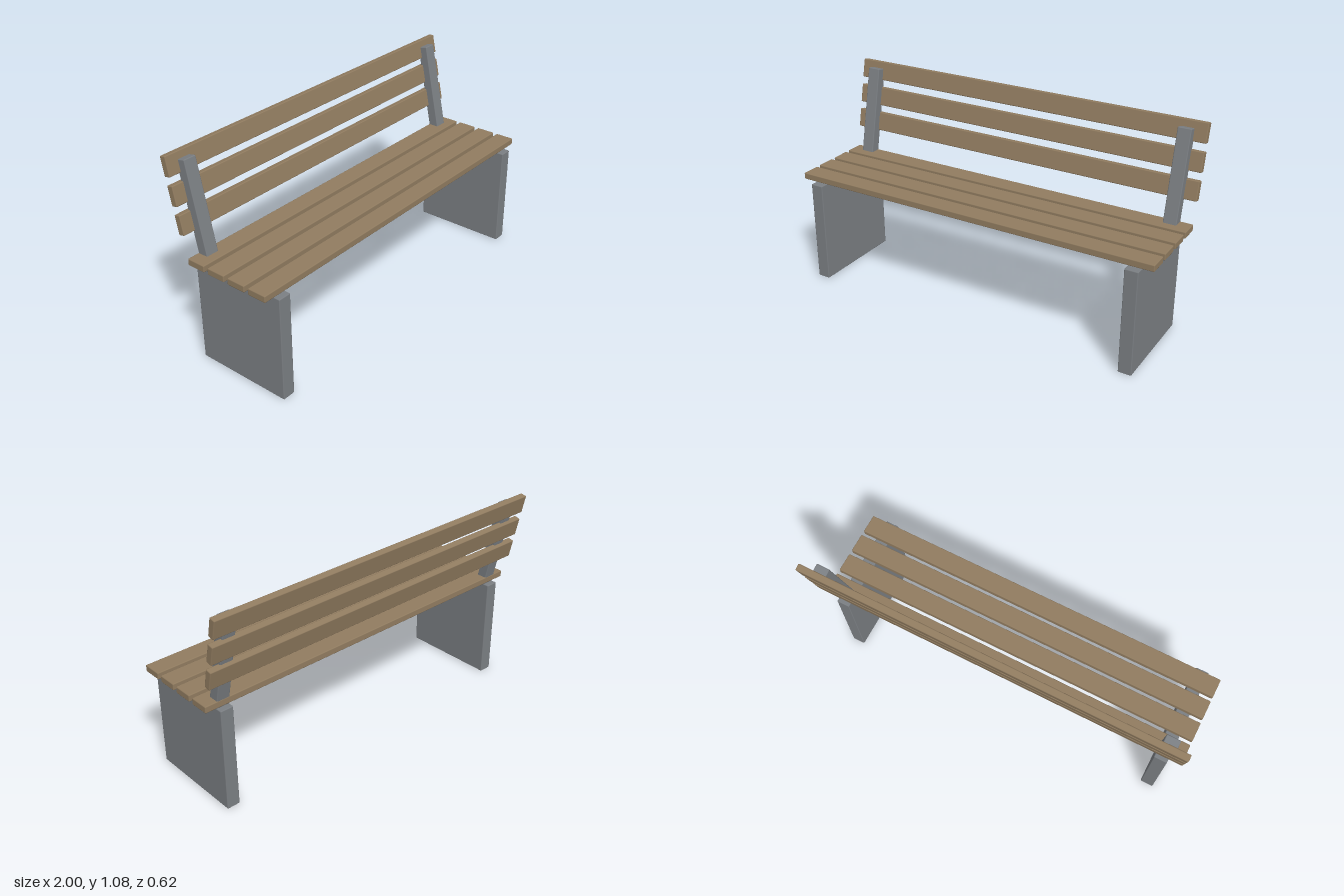
import * as THREE from 'three';
import { RoundedBoxGeometry } from 'three/addons/geometries/RoundedBoxGeometry.js';

const BEVEL = 0.005;
const LEAN = -THREE.MathUtils.degToRad(12);

export function createModel() {
  const bench = new THREE.Group();
  bench.name = 'bench';

  const wood = new THREE.MeshStandardMaterial({ color: 0x917c60 });
  wood.name = 'wood';
  const concrete = new THREE.MeshStandardMaterial({ color: 0x7b7f83 });
  concrete.name = 'grey concrete';

  // Box with slightly eased edges
  function addBlock(name, size, position, material, tilt = 0) {
    const mesh = new THREE.Mesh(new RoundedBoxGeometry(...size, 1, BEVEL), material);
    mesh.name = name;
    mesh.position.set(...position);
    mesh.rotation.x = tilt;
    bench.add(mesh);
  }

  // Slab legs with a leaning back post on each
  for (const [side, x] of [['left', 0.9], ['right', -0.9]]) {
    addBlock(`${side}Leg`, [0.07, 0.55, 0.52], [x, 0.275, 0.05], concrete);
    addBlock(`${side}BackPost`, [0.07, 0.542, 0.055], [x, 0.779, -0.1995], concrete, LEAN);
  }

  // Seat slats, front to back
  for (let i = 0; i < 4; i++) {
    addBlock(`seatSlat${i + 1}`, [2, 0.035, 0.102], [0, 0.5755, 0.237 - i * 0.125], wood);
  }

  // Back slats, bottom to top, set into the rear of the posts
  for (let i = 0; i < 3; i++) {
    addBlock(`backSlat${i + 1}`, [2, 0.1, 0.035], [0, 0.751 + i * 0.137, -0.225 - i * 0.0287], wood, LEAN);
  }

  return bench;
}
